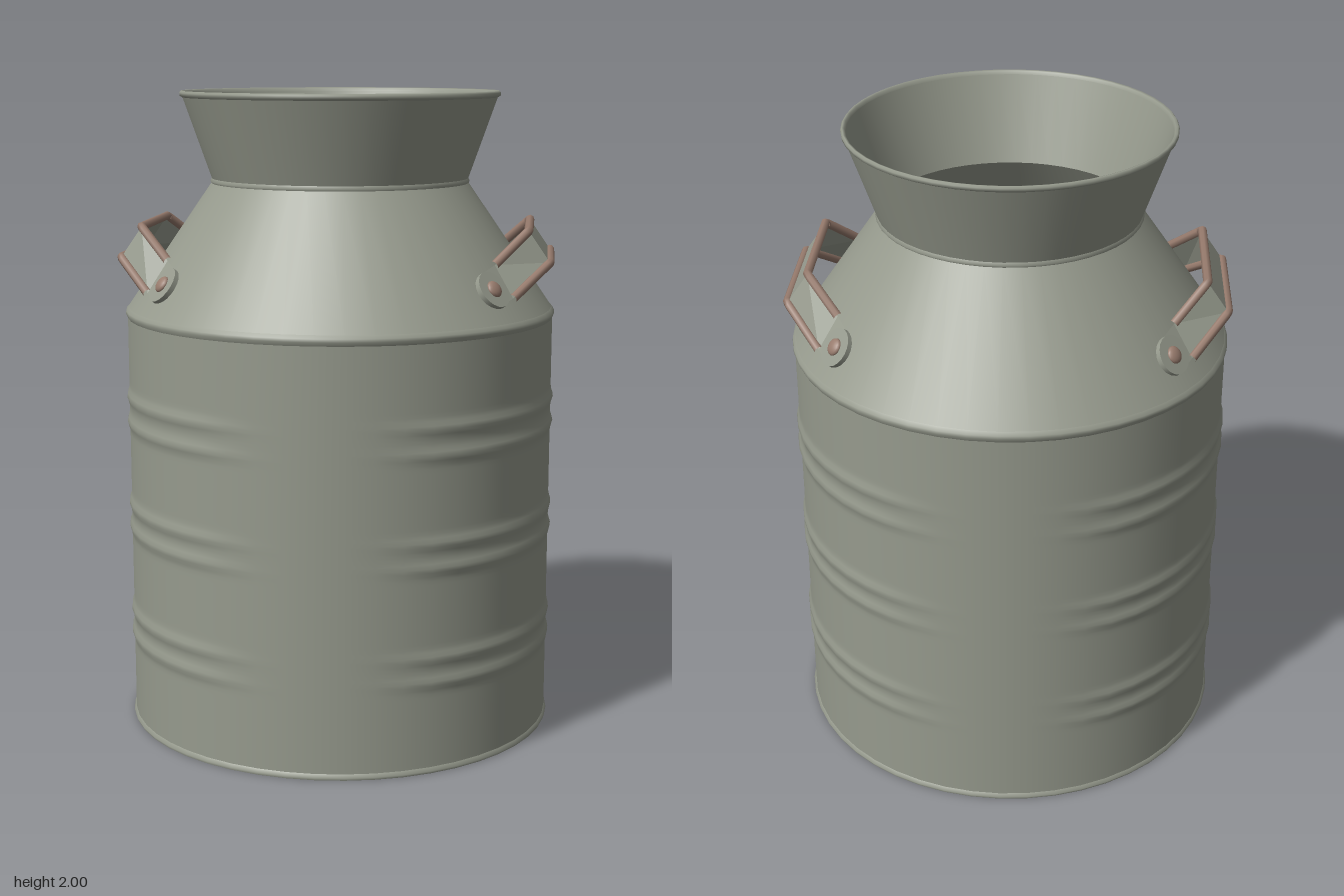
import * as THREE from 'three';
import { mergeVertices } from 'three/addons/utils/BufferGeometryUtils.js';

const SIDES = 48;
const V = (x, y, z) => new THREE.Vector3(x, y, z);

const steel = new THREE.MeshStandardMaterial({ color: 0x969a8d, side: THREE.DoubleSide });
steel.name = 'grey steel';
const copper = new THREE.MeshStandardMaterial({ color: 0x977b6d });
copper.name = 'worn copper';

function part(name, geometry, material) {
  const mesh = new THREE.Mesh(geometry, material);
  mesh.name = name;
  return mesh;
}

function turned(name, points) {
  const profile = points.map(([r, y]) => new THREE.Vector2(r, y));
  return part(name, new THREE.LatheGeometry(profile, SIDES), steel);
}

// Cylindrical wall with paired pressed ribs that fade out at front and back
function ribbedWall() {
  const profile = [];
  for (let i = 0; i <= 100; i++) profile.push(new THREE.Vector2(0.672, 0.015 + 1.29 * i / 100));
  let geo = new THREE.LatheGeometry(profile, SIDES);
  const pos = geo.attributes.position;
  const ribs = [0.28, 0.355, 0.63, 0.705, 0.97, 1.05];
  for (let i = 0; i < pos.count; i++) {
    const x = pos.getX(i), y = pos.getY(i), z = pos.getZ(i);
    const fade = THREE.MathUtils.smoothstep(Math.abs(x) / 0.672, 0.25, 0.6);
    let bump = 0;
    for (const r of ribs) bump += Math.exp(-(((y - r) / 0.017) ** 2));
    const k = 1 + 0.012 * bump * fade;
    pos.setXYZ(i, x * k, y, z * k);
  }
  geo.deleteAttribute('uv');
  geo.deleteAttribute('normal');
  geo = mergeVertices(geo);
  geo.computeVertexNormals();
  return part('ribbedWall', geo, steel);
}

// Frame on the sloping shoulder at a given angle
function slope(angle) {
  const c = Math.cos(angle), s = Math.sin(angle);
  return {
    up: V(-0.567 * c, 0.824, -0.567 * s),
    out: V(0.824 * c, 0.567, 0.824 * s),
  };
}

// Flat ribbon joining cross-sections given as [lower, upper] pairs
function ribbon(sections) {
  const p = [];
  for (let i = 0; i < sections.length - 1; i++) {
    const [a, b] = sections[i], [c, d] = sections[i + 1];
    for (const v of [a, b, c, c, b, d]) p.push(...v.toArray());
  }
  const geo = new THREE.BufferGeometry();
  geo.setAttribute('position', new THREE.Float32BufferAttribute(p, 3));
  geo.computeVertexNormals();
  return geo;
}

function polyTube(points, radius) {
  const path = new THREE.CurvePath();
  for (let i = 0; i < points.length - 1; i++) path.add(new THREE.LineCurve3(points[i], points[i + 1]));
  return new THREE.TubeGeometry(path, 48, radius, 8, false);
}

// Bent carrying strap with copper edges, pads and rivets
function handle(name) {
  const g = new THREE.Group();
  g.name = name;
  const half = 0.058;
  const stations = [
    [V(0.495, 1.43, 0.355), 1], [V(0.525, 1.445, 0.3), 1], [V(0.628, 1.54, 0.195), 0],
    [V(0.628, 1.54, -0.195), 0], [V(0.525, 1.445, -0.3), 1], [V(0.495, 1.43, -0.355), 1],
  ];
  const sections = stations.map(([p, onShoulder]) => {
    const { up } = slope(onShoulder ? Math.atan2(p.z, p.x) : 0);
    return [p.clone().addScaledVector(up, -half), p.clone().addScaledVector(up, half)];
  });
  g.add(part('strap', ribbon(sections), steel));
  for (const edge of [0, 1]) {
    const line = sections.slice(1, -1).map((s) => s[edge]);
    g.add(part(edge ? 'upperEdge' : 'lowerEdge', polyTube(line, 0.014), copper));
  }
  for (const s of [1, -1]) {
    const angle = Math.atan2(0.355 * s, 0.49);
    const { out } = slope(angle);
    const turn = new THREE.Quaternion().setFromUnitVectors(V(0, 1, 0), out);
    const pad = part('pad', new THREE.CylinderGeometry(0.06, 0.06, 0.025, 20), steel);
    pad.position.set(0.49, 1.423, 0.355 * s);
    pad.quaternion.copy(turn);
    const rivet = part('rivet', new THREE.SphereGeometry(0.027, 16, 10), copper);
    rivet.scale.y = 0.5;
    rivet.position.copy(pad.position).addScaledVector(out, 0.013);
    rivet.quaternion.copy(turn);
    g.add(pad, rivet);
  }
  return g;
}

export function createModel() {
  const can = new THREE.Group();
  can.name = 'milkCan';

  // Outer shell, each section separate so its edges stay crisp
  can.add(
    turned('base', [[0, 0], [0.676, 0]]),
    turned('baseRim', [[0.676, 0], [0.679, 0.008], [0.672, 0.018]]),
    ribbedWall(),
    turned('shoulderSeam', [[0.672, 1.3], [0.678, 1.312], [0.677, 1.322], [0.668, 1.332]]),
    turned('shoulder', [[0.668, 1.332], [0.402, 1.718]]),
    turned('neckSeam', [[0.402, 1.714], [0.407, 1.722], [0.402, 1.732]]),
    turned('neck', [[0.402, 1.73], [0.491, 1.982]]),
    turned('mouthRim', [[0.491, 1.98], [0.499, 1.985], [0.5, 1.994], [0.495, 2], [0.488, 1.998], [0.484, 1.988]]),
  );

  // Hollow inside
  can.add(
    turned('innerNeck', [[0.484, 1.988], [0.394, 1.724]]),
    turned('innerShoulder', [[0.394, 1.724], [0.66, 1.32]]),
    turned('innerWall', [[0.66, 1.32], [0.66, 0.012]]),
    turned('floor', [[0.66, 0.012], [0, 0.012]]),
  );

  // Handles on both sides
  const left = handle('leftHandle');
  const right = handle('rightHandle');
  right.rotation.y = Math.PI;
  can.add(left, right);
  return can;
}
